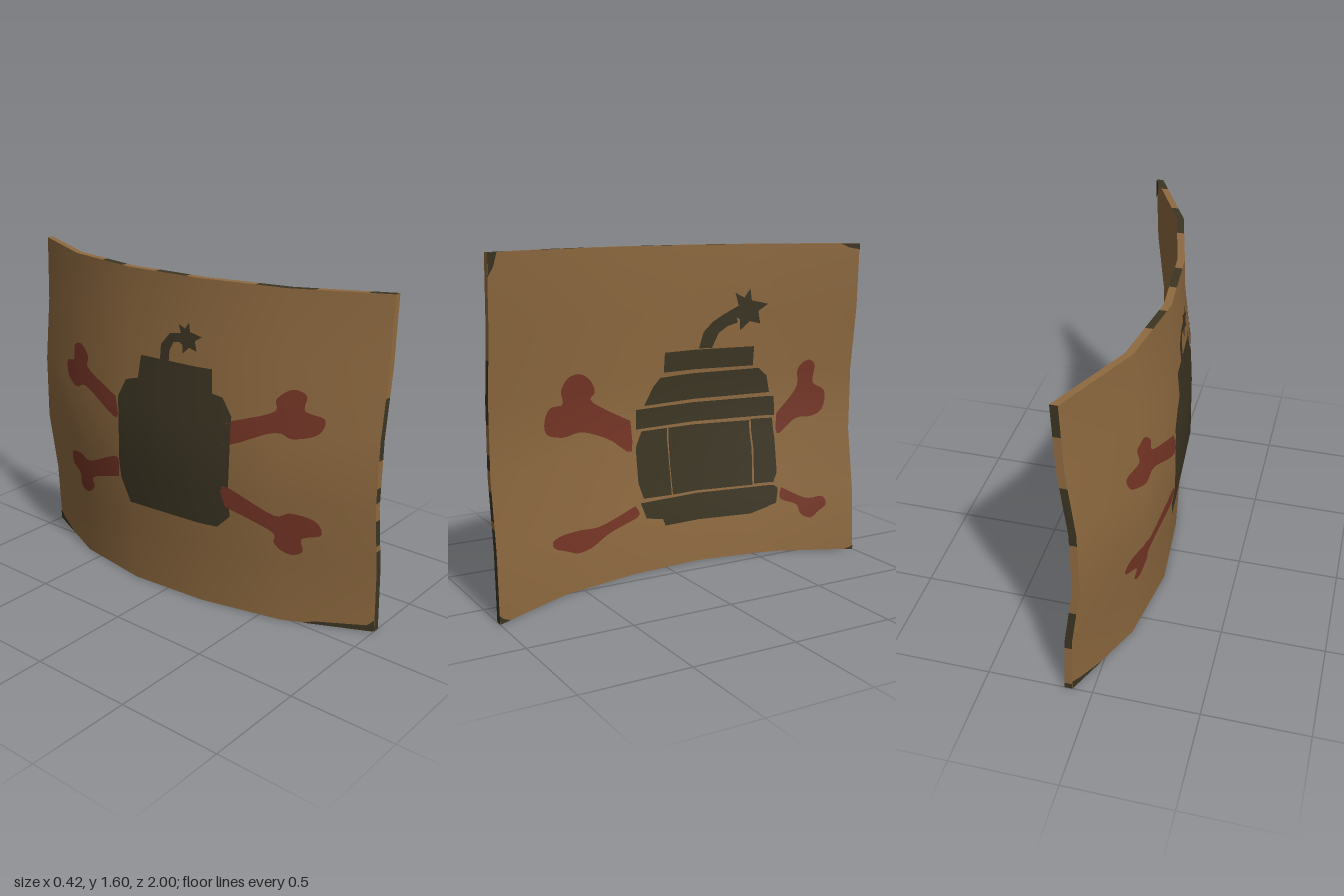
import * as THREE from 'three';

const mat = (name, color) => new THREE.MeshStandardMaterial({ name, color });

// Sheet bend: x = bend over z + bend over y, both piecewise linear
const Z = [-1, -0.6, -0.2, 0.2, 0.6, 1], BZ = [0.053, -0.13, -0.193, -0.163, -0.07, 0.125];
const Y = [0, 0.32, 0.64, 0.96, 1.28, 1.6], BY = [0.062, 0.047, 0, 0.002, 0.037, 0.047];
const HALF = 0.017;

function lerpTable(keys, vals, t) {
  const f = THREE.MathUtils.clamp((t - keys[0]) / (keys[1] - keys[0]), 0, 4.99999);
  const i = Math.floor(f);
  return vals[i] + (vals[i + 1] - vals[i]) * (f - i);
}
// Slope at each fold, averaged from its neighbours, for smooth shading
const slopes = (keys, vals) => keys.map((_, i) => {
  const a = Math.max(i - 1, 0), b = Math.min(i + 1, 5);
  return (vals[b] - vals[a]) / (keys[b] - keys[a]);
});
const SZ = slopes(Z, BZ), SY = slopes(Y, BY);
const bend = (z, y) => lerpTable(Z, BZ, z) + lerpTable(Y, BY, y);

// Cut convex polygons along one fold line
function slice(polys, axis, c) {
  const out = [];
  for (const poly of polys) {
    for (const sign of [1, -1]) {
      const part = [];
      poly.forEach((p, i) => {
        const q = poly[(i + 1) % poly.length];
        const dp = (p[axis] - c) * sign, dq = (q[axis] - c) * sign;
        if (dp >= 0) part.push(p);
        if (dp * dq < 0) {
          const t = dp / (dp - dq);
          part.push([p[0] + (q[0] - p[0]) * t, p[1] + (q[1] - p[1]) * t]);
        }
      });
      if (part.length > 2) out.push(part);
    }
  }
  return out;
}

// Lay a flat (z, y) outline, in hundredths, on the +x or -x face of the sheet
function plate(group, name, material, points, side, lift = 0.003, round = false) {
  let pts = points.map(([z, y]) => new THREE.Vector2(z / 100, y / 100));
  if (round) pts = new THREE.SplineCurve([...pts, pts[0]]).getPoints(48).slice(0, -1);
  const flat = new THREE.ShapeGeometry(new THREE.Shape(pts)).toNonIndexed().getAttribute('position');
  let polys = [];
  for (let i = 0; i < flat.count; i += 3) {
    polys.push([0, 1, 2].map(k => [flat.getX(i + k), flat.getY(i + k)]));
  }
  for (let i = 1; i < 5; i++) polys = slice(slice(polys, 0, Z[i]), 1, Y[i]);
  const pos = [], nor = [];
  for (const poly of polys) {
    for (let i = 1; i < poly.length - 1; i++) {
      const tri = side > 0 ? [poly[0], poly[i + 1], poly[i]] : [poly[0], poly[i], poly[i + 1]];
      for (const [z, y] of tri) {
        pos.push(bend(z, y) + side * (HALF + lift), y, z);
        const n = new THREE.Vector3(1, -lerpTable(Y, SY, y), -lerpTable(Z, SZ, z)).normalize();
        nor.push(n.x * side, n.y * side, n.z * side);
      }
    }
  }
  const g = new THREE.BufferGeometry();
  g.setAttribute('position', new THREE.Float32BufferAttribute(pos, 3));
  g.setAttribute('normal', new THREE.Float32BufferAttribute(nor, 3));
  const mesh = new THREE.Mesh(g, material);
  mesh.name = name;
  group.add(mesh);
}

// Rim strip along one border, with worn dark stretches
function rim(group, name, keys, place, darkRanges, flip, plain, dark) {
  const stops = [...new Set([...keys, ...darkRanges.flat()])].sort((a, b) => a - b);
  const pos = { plain: [], dark: [] };
  for (let i = 0; i < stops.length - 1; i++) {
    const mid = (stops[i] + stops[i + 1]) / 2;
    const list = darkRanges.some(([a, b]) => mid > a && mid < b) ? pos.dark : pos.plain;
    const [a, b, c, d] = [place(stops[i], -1), place(stops[i], 1), place(stops[i + 1], 1), place(stops[i + 1], -1)];
    list.push(...(flip ? [a, c, b, a, d, c] : [a, b, c, a, c, d]).flat());
  }
  for (const [key, material] of [['plain', plain], ['dark', dark]]) {
    if (!pos[key].length) continue;
    const g = new THREE.BufferGeometry();
    g.setAttribute('position', new THREE.Float32BufferAttribute(pos[key], 3));
    g.computeVertexNormals();
    const mesh = new THREE.Mesh(g, material);
    mesh.name = name + (key === 'dark' ? 'Worn' : '');
    group.add(mesh);
  }
}

export function createModel() {
  const model = new THREE.Group();
  model.name = 'curvedBanner';
  const tan = mat('tanCloth', 0x8f6a40);
  const dark = mat('darkPaint', 0x3c3523);
  const red = mat('redPaint', 0x763526);

  // Cloth faces
  const full = [[-100, 0], [100, 0], [100, 160], [-100, 160]];
  plate(model, 'innerFace', tan, full, 1, 0);
  plate(model, 'outerFace', tan, full, -1, 0);

  // Rims
  const atZ = z => (y, s) => [bend(z, y) + s * HALF, y, z];
  const atY = y => (z, s) => [bend(z, y) + s * HALF, y, z];
  rim(model, 'frontRim', Y, atZ(1), [[0, 0.42], [0.45, 0.58], [0.67, 0.74], [0.87, 1.15]], false, tan, dark);
  rim(model, 'backRim', Y, atZ(-1), [[0, 0.03], [0.27, 0.5], [0.9, 1.2], [1.45, 1.6]], true, tan, dark);
  rim(model, 'bottomRim', Z, atY(0), [[-1, 1]], false, tan, dark);
  rim(model, 'topRim', Z, atY(1.6), [[-0.4, -0.25], [-0.05, 0.12], [0.45, 0.7], [0.9, 1]], true, tan, dark);

  // Bomb emblem on the inner face
  const star = [[-48, 138], [-49, 132], [-58, 130], [-52.8, 126.5], [-54.4, 120], [-48.5, 121.5],
    [-43.6, 117], [-43, 122.7], [-36, 126.5], [-42, 129.6], [-40, 136], [-45, 133.5]];
  const inner = {
    bombCap: [[-2, 108], [-52, 108.5], [-52, 98.5], [-2, 98]],
    bombShoulder: [[9.4, 82.5], [4, 91.6], [0, 95.5], [-11, 96], [-55.5, 97], [-60, 92.7], [-61.3, 84]],
    bombBand: [[14, 81], [-63.5, 82], [-64, 72], [14, 71.3]],
    bombPanelLeft: [[11, 70], [-4, 70], [-4.5, 36.5], [12, 37], [14.5, 45], [14.5, 62]],
    bombPanelMiddle: [[-5, 70], [-50.5, 70], [-51.5, 55], [-50.5, 36.5], [-5.2, 36.5], [-4.8, 50]],
    bombPanelRight: [[-51.5, 70.5], [-63, 70.5], [-64, 60], [-64, 42], [-62, 37], [-51.5, 37], [-52.5, 55]],
    bombBase: [[14, 35], [-62, 35.5], [-64, 34], [-63, 26], [-58, 24], [-49, 21.5], [0, 21.5], [1.3, 25], [11, 27]],
    fuse: [[-22, 108.7], [-24, 117], [-28.6, 122], [-35, 126], [-40.4, 127.5], [-42, 121], [-36.7, 119.5], [-32, 116], [-29, 108.7]],
    spark: star,
  };
  for (const [name, pts] of Object.entries(inner)) plate(model, name, dark, pts, 1);

  // Crossed bones on the inner face
  const bones = [
    [[17.4, 76], [17, 60.5], [30, 68.5], [46, 74.5], [57, 73.5], [66.7, 76.6], [68, 83], [64.5, 88.4], [57, 89],
      [57.6, 95.5], [54, 101], [47.4, 102.3], [41, 98.5], [38.3, 92.7], [40, 88]],
    [[17, 34], [16, 28.5], [33, 24], [43.6, 19.3], [51.7, 18.2], [58, 20.4], [66, 24], [65.6, 28], [51.7, 29], [38.3, 28.5]],
    [[-65, 73], [-65.6, 62], [-74, 70], [-82, 71.3], [-87, 75.5], [-87.5, 84.6], [-82, 89], [-82.7, 98],
      [-79, 100.7], [-74.7, 96], [-74, 86]],
    [[-65.6, 34.3], [-65, 28.4], [-72.6, 25], [-74.7, 20], [-79.5, 17.7], [-83.3, 21], [-87, 24.6], [-85, 29], [-77, 28.4]],
  ];
  bones.forEach(pts => plate(model, 'innerBone', red, pts, 1, 0.003, true));

  // Bomb emblem on the outer face
  plate(model, 'outerBombBody', dark, [[-20, 43], [30, 43], [37, 50], [38, 100], [33, 108], [28, 109],
    [27, 120], [-12, 120], [-13, 109], [-20, 107], [-25, 98], [-25, 55]], -1);
  plate(model, 'outerFuse', dark, [[-1, 120], [-1, 127], [4, 133], [11, 134], [11, 130], [6, 129], [4, 125], [4, 120]], -1);
  plate(model, 'outerSpark', dark, star.map(([z, y]) => [14 - (z + 47.5) * 0.7, 132 + (y - 127.5) * 0.7]), -1);

  // Four mirrored bones on the outer face
  const bone = [[35, 97], [35, 86], [58, 96], [66, 94], [76, 97], [78, 104], [70, 107], [70, 114], [64, 116], [58, 111], [57, 105]];
  for (const mz of [false, true]) {
    for (const my of [false, true]) {
      plate(model, 'outerBone', red, bone.map(([z, y]) => [mz ? 8 - z : z, my ? 152 - y : y]), -1, 0.003, true);
    }
  }

  // Worn corners
  const corners = [
    [1, [[100, 160], [95, 160], [97, 154], [100, 150]]],
    [1, [[-100, 160], [-91, 160], [-95, 158], [-100, 157]]],
    [1, [[100, 0], [94, 0], [98, 2], [100, 4]]],
    [1, [[-100, 0], [-96, 0], [-100, 2]]],
    [-1, [[100, 0], [70, 0], [75, 1.5], [97, 3], [100, 6]]],
    [-1, [[-100, 0], [-80, 0], [-95, 3], [-100, 5]]],
  ];
  corners.forEach(([side, pts]) => plate(model, 'wornCorner', dark, pts, side));

  return model;
}
